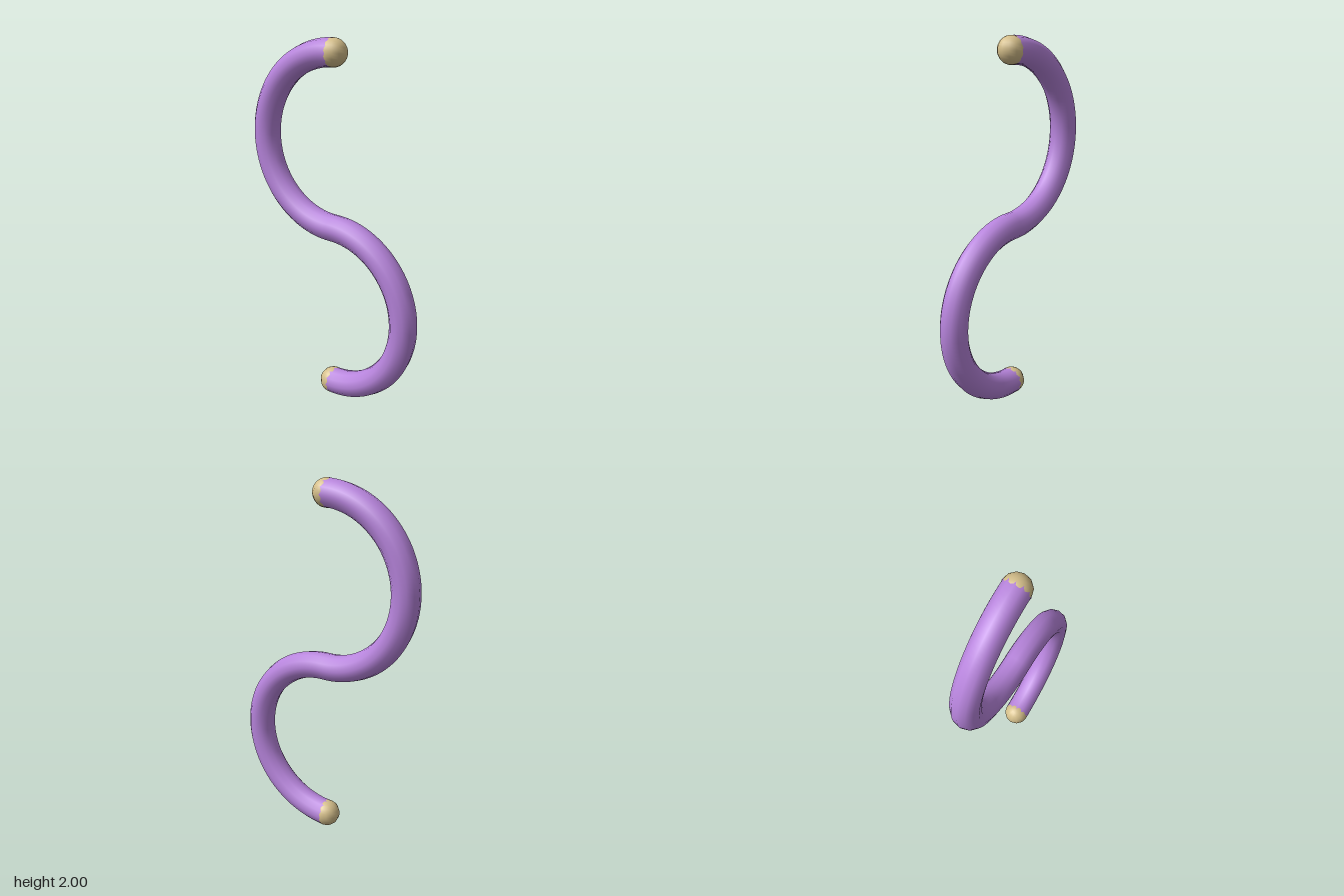
import * as THREE from 'three';

export function createModel() {
  const group = new THREE.Group();
  const R = 0.463; // bend radius
  const r = 0.074; // rod radius

  const purple = new THREE.MeshStandardMaterial({ color: 0xb784dc });
  purple.name = 'purple';
  const sand = new THREE.MeshStandardMaterial({ color: 0xd4be8a });
  sand.name = 'sand';

  const add = (name, geometry, material, y, turn = 0) => {
    const mesh = new THREE.Mesh(geometry, material);
    mesh.name = name;
    mesh.position.y = y;
    mesh.rotation.z = turn;
    group.add(mesh);
  };

  // Two half rings meet in the middle to form the S hook
  const bend = new THREE.TorusGeometry(R, r, 12, 64, Math.PI);
  add('upperBend', bend, purple, 1 + R, Math.PI / 2);
  add('lowerBend', bend, purple, 1 - R, -Math.PI / 2);

  // Round tips close the open ends
  const tip = new THREE.SphereGeometry(r, 12, 16);
  add('upperTip', tip, sand, 1 + 2 * R);
  add('lowerTip', tip, sand, 1 - 2 * R);

  return group;
}
